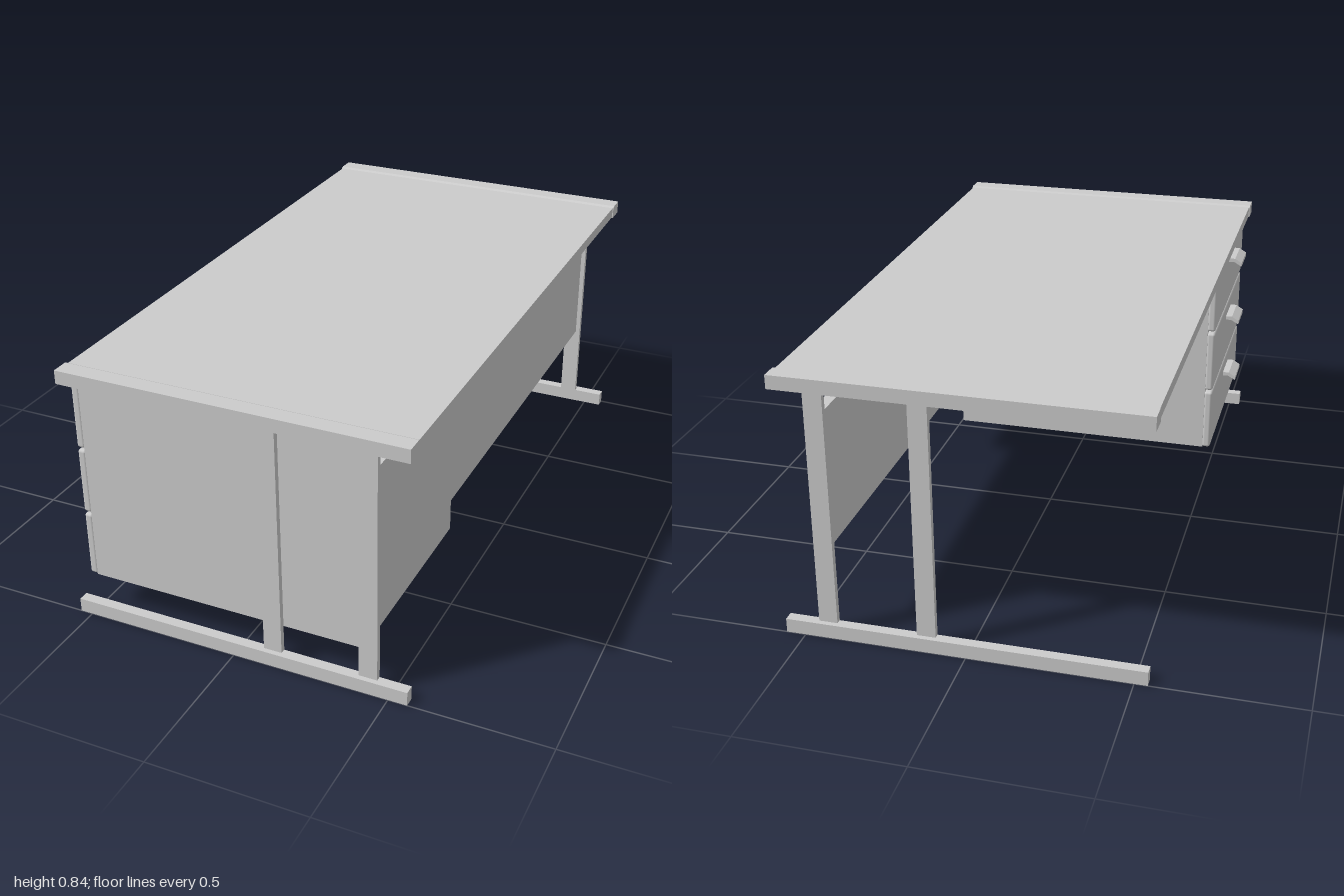
import * as THREE from 'three';
import { RoundedBoxGeometry } from 'three/addons/geometries/RoundedBoxGeometry.js';

const material = new THREE.MeshStandardMaterial({ color: 0xcccccc });

function add(parent, name, geometry) {
  const mesh = new THREE.Mesh(geometry, material);
  mesh.name = name;
  parent.add(mesh);
  return mesh;
}

// Box given by its lower and upper limits on each axis
function box(parent, name, [x0, x1], [y0, y1], [z0, z1]) {
  const mesh = add(parent, name, new THREE.BoxGeometry(x1 - x0, y1 - y0, z1 - z0));
  mesh.position.set((x0 + x1) / 2, (y0 + y1) / 2, (z0 + z1) / 2);
  return mesh;
}

function extrude(points, depth) {
  const shape = new THREE.Shape(points.map(([x, y]) => new THREE.Vector2(x, y)));
  return new THREE.ExtrudeGeometry(shape, { depth, bevelEnabled: false });
}

// End frame: edge rail with a sloped inner lip, two posts and a long foot
function endFrame(side) {
  const frame = new THREE.Group();
  frame.name = side > 0 ? 'frontEndFrame' : 'backEndFrame';

  const profile = [[-1, 0.797], [-0.935, 0.797], [-0.935, 0.835], [-0.945, 0.84], [-1, 0.84]];
  const rail = add(frame, 'edgeRail', extrude(profile, 1.1));
  rail.rotation.y = side > 0 ? Math.PI / 2 : -Math.PI / 2;
  // mirrored rail: the turned profile runs the other way along x
  rail.position.x = side > 0 ? -0.54 : 0.56;

  const range = (a, b) => (side > 0 ? [a, b] : [-b, -a]);
  for (const [x0, x1] of [[0.095, 0.153], [0.402, 0.46]]) {
    box(frame, 'post', [x0, x1], [0.045, 0.797], range(0.966, 0.984));
  }
  box(frame, 'foot', [-0.54, 0.56], [0, 0.045], range(0.967, 1));
  return frame;
}

// Drawer front with softened edges and a bent pull
function drawer(index) {
  const group = new THREE.Group();
  group.name = 'drawer';
  const front = add(group, 'drawerFront', new RoundedBoxGeometry(0.028, 0.215, 0.68, 4, 0.009));
  front.position.set(-0.502, 0.1075, 0.625);

  const pull = [[-0.51, 0.163], [-0.51, 0.176], [-0.538, 0.176], [-0.562, 0.161],
    [-0.562, 0.148], [-0.536, 0.163]];
  const handle = add(group, 'handle', extrude(pull, 0.126));
  handle.position.z = 0.57;
  group.position.y = 0.13 + index * 0.2225;
  return group;
}

export function createModel() {
  const desk = new THREE.Group();
  desk.name = 'desk';

  box(desk, 'desktop', [-0.537, 0.557], [0.8, 0.835], [-0.94, 0.94]);
  box(desk, 'modestyPanel', [0.41, 0.445], [0.3, 0.73], [-0.966, 0.966]);
  box(desk, 'drawerCabinet', [-0.49, 0.41], [0.13, 0.8], [0.285, 0.965]);

  for (const side of [1, -1]) desk.add(endFrame(side));
  for (let i = 0; i < 3; i++) desk.add(drawer(i));
  return desk;
}
